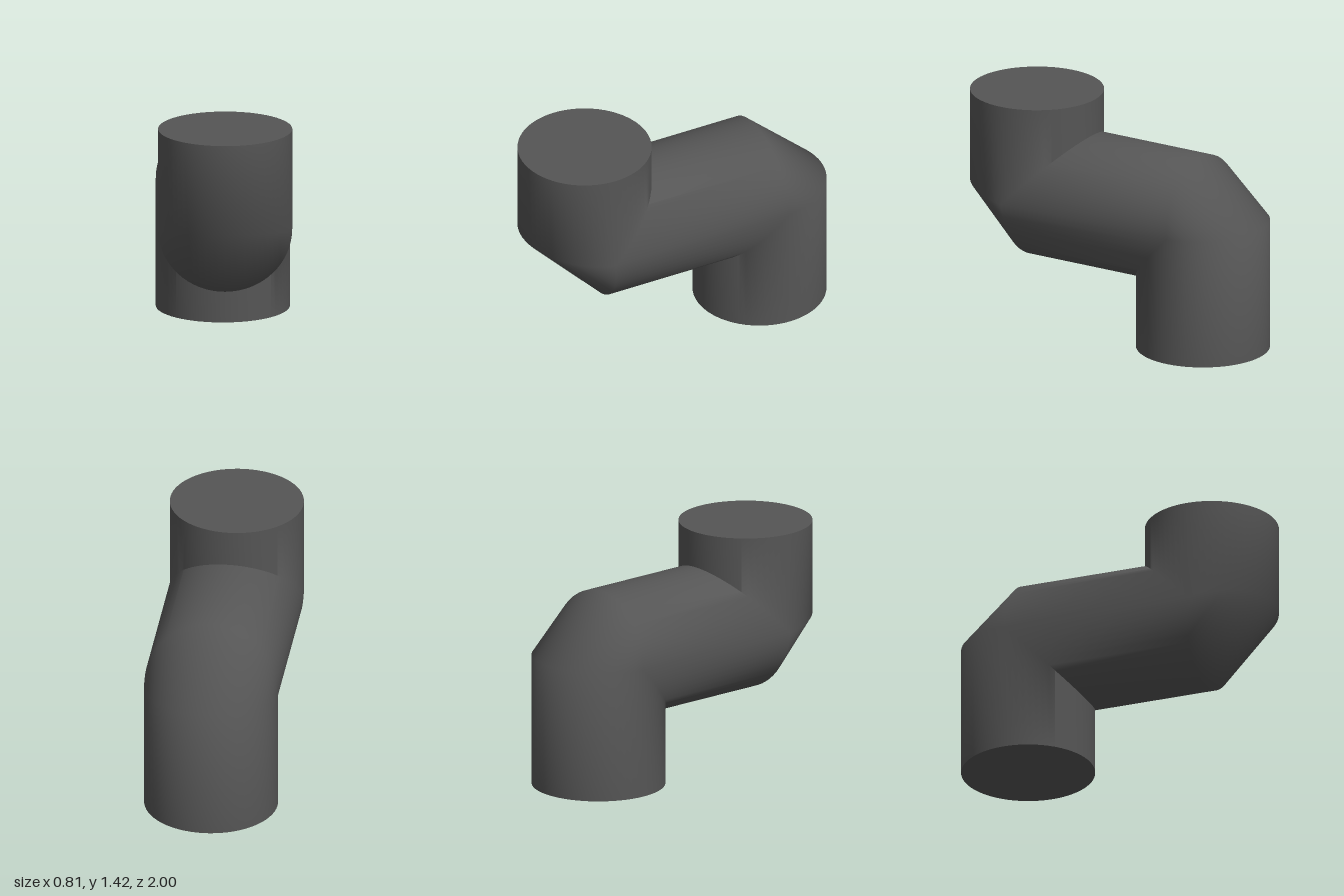
import * as THREE from 'three';
import { toCreasedNormals } from 'three/addons/utils/BufferGeometryUtils.js';

const R = 0.405;      // pipe radius
const AXIS_Z = 0.595; // distance of the upright legs from the centre
const AXIS_Y = 0.795; // height of the level run
const HEIGHT = 1.42;
const SIDES = 64;

// Rings down the pipe; s is the offset across the bend plane.
// Each elbow is mitred on its inner half and chamfered on its outer half.
const rings = [
  s => [HEIGHT, AXIS_Z + s],                                          // top opening
  s => [AXIS_Y + (s > 0 ? 0.16 * s : -s), AXIS_Z + s],                // upper elbow, upright end
  s => [AXIS_Y - s, AXIS_Z + (s > 0 ? -0.11 * s : s)],                // upper elbow, level end
  s => [AXIS_Y - s, -AXIS_Z + (s < 0 ? -0.06 * s : s)],               // lower elbow, level end
  s => [AXIS_Y - (s < 0 ? 0.037 * s : s), -AXIS_Z + s],               // lower elbow, upright end
  s => [0, -AXIS_Z + s],                                              // bottom opening
];

function pipeGeometry() {
  const points = rings.map(ring => Array.from({ length: SIDES }, (_, i) => {
    const a = (i / SIDES) * Math.PI * 2;
    const [y, z] = ring(R * Math.cos(a));
    return new THREE.Vector3(R * Math.sin(a), y, z);
  }));
  const positions = [];
  const triangle = (a, b, c) => {
    // Skip the collapsed faces where the mitred halves share their corners
    const area = b.clone().sub(a).cross(c.clone().sub(a)).length();
    if (area > 1e-9) for (const p of [a, b, c]) positions.push(p.x, p.y, p.z);
  };

  // Walls
  for (let k = 0; k < points.length - 1; k++) {
    for (let i = 0; i < SIDES; i++) {
      const j = (i + 1) % SIDES;
      const a = points[k][i], b = points[k][j], c = points[k + 1][j], d = points[k + 1][i];
      triangle(a, d, c);
      triangle(a, c, b);
    }
  }

  // End caps
  const top = new THREE.Vector3(0, HEIGHT, AXIS_Z);
  const bottom = new THREE.Vector3(0, 0, -AXIS_Z);
  const last = points[points.length - 1];
  for (let i = 0; i < SIDES; i++) {
    const j = (i + 1) % SIDES;
    triangle(top, points[0][i], points[0][j]);
    triangle(bottom, last[j], last[i]);
  }

  const geometry = new THREE.BufferGeometry();
  geometry.setAttribute('position', new THREE.Float32BufferAttribute(positions, 3));
  return toCreasedNormals(geometry, Math.PI / 3);
}

export function createModel() {
  const group = new THREE.Group();
  group.name = 'offsetPipe';
  const pipe = new THREE.Mesh(pipeGeometry(), new THREE.MeshStandardMaterial({ color: 0x555555 }));
  pipe.name = 'pipe';
  group.add(pipe);
  return group;
}
